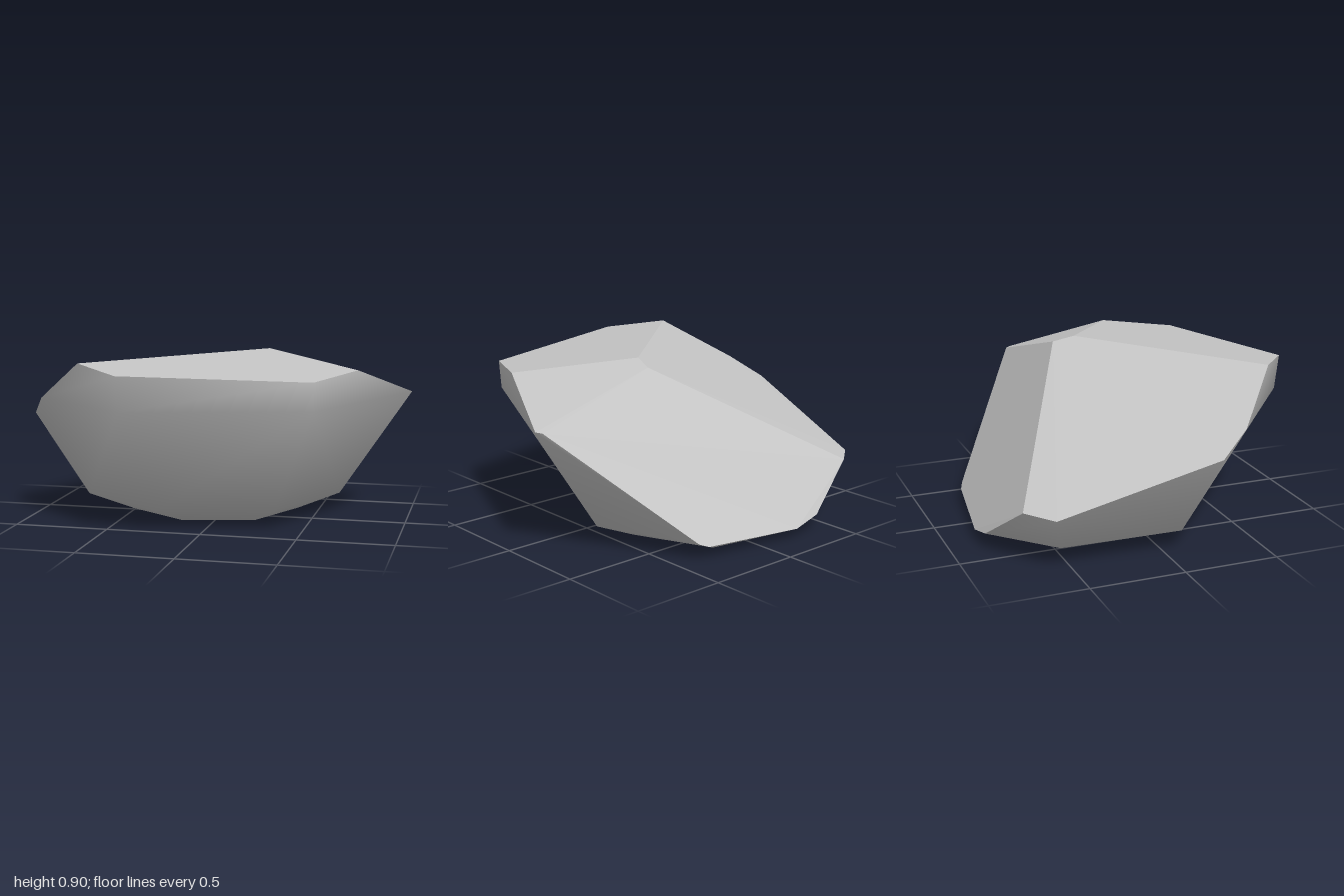
import * as THREE from 'three';
import { ConvexGeometry } from 'three/addons/geometries/ConvexGeometry.js';
import { toCreasedNormals } from 'three/addons/utils/BufferGeometryUtils.js';

// Corners of the boulder, grouped by level
const ridge = [[0.27, 0.876, -0.23], [0.24, 0.905, -0.12]];
const rim = [
  [-0.7, 0.305, -0.73], [-0.38, 0.09, -0.83], [-0.22, 0.052, -0.84], [0.33, 0.068, -0.76],
  [0.38, 0.088, -0.74], [0.98, 0.672, -0.28], [1, 0.675, -0.25], [0.77, 0.84, 0.26],
  [0.6, 0.815, 0.62], [-0.34, 0.846, 0.835], [-0.6, 0.88, 0.63], [-0.9, 0.662, 0.36],
  [-1, 0.555, 0.19], [-0.85, 0.3, -0.61],
];
const shoulder = [[0.598, 0.67, 0.605], [-0.335, 0.665, 0.815]];
const foot = [[-0.24, 0.1, 0.45], [0.35, 0.1, 0.31], [0.615, 0.1, -0.23], [-0.73, 0.1, 0.1], [-0.71, 0.1, -0.55]];
const base = [
  [-0.18, 0, 0.2], [0.21, 0, 0.11], [0.38, 0, -0.24], [0.2, 0, -0.65],
  [-0.2, 0, -0.7], [-0.5, 0, -0.45], [-0.51, 0, -0.02],
];

// Keeps the triangles whose face normal passes the test
function pickFaces(geometry, test) {
  const p = geometry.attributes.position;
  const tri = new THREE.Triangle(), normal = new THREE.Vector3(), kept = [];
  for (let i = 0; i < p.count; i += 3) {
    tri.setFromAttributeAndIndices(p, i, i + 1, i + 2);
    tri.getNormal(normal);
    if (test(normal)) kept.push(...tri.a.toArray(), ...tri.b.toArray(), ...tri.c.toArray());
  }
  const out = new THREE.BufferGeometry();
  out.setAttribute('position', new THREE.Float32BufferAttribute(kept, 3));
  out.computeVertexNormals();
  return out;
}

export function createModel() {
  const stone = new THREE.MeshStandardMaterial({ color: 0xc4c4c4 });
  stone.name = 'stone grey';
  const corners = [...ridge, ...rim, ...shoulder, ...foot, ...base].map((c) => new THREE.Vector3(...c));
  const hull = new ConvexGeometry(corners);

  // Flat cleaved faces on top, smooth weathered sides below
  const cleaved = new THREE.Mesh(pickFaces(hull, (n) => n.y > 0.3), stone);
  cleaved.name = 'cleavedTop';
  const sides = new THREE.Mesh(toCreasedNormals(pickFaces(hull, (n) => n.y <= 0.3), 1.25), stone);
  sides.name = 'weatheredSides';

  const rock = new THREE.Group();
  rock.name = 'boulder';
  rock.add(cleaved, sides);
  return rock;
}
